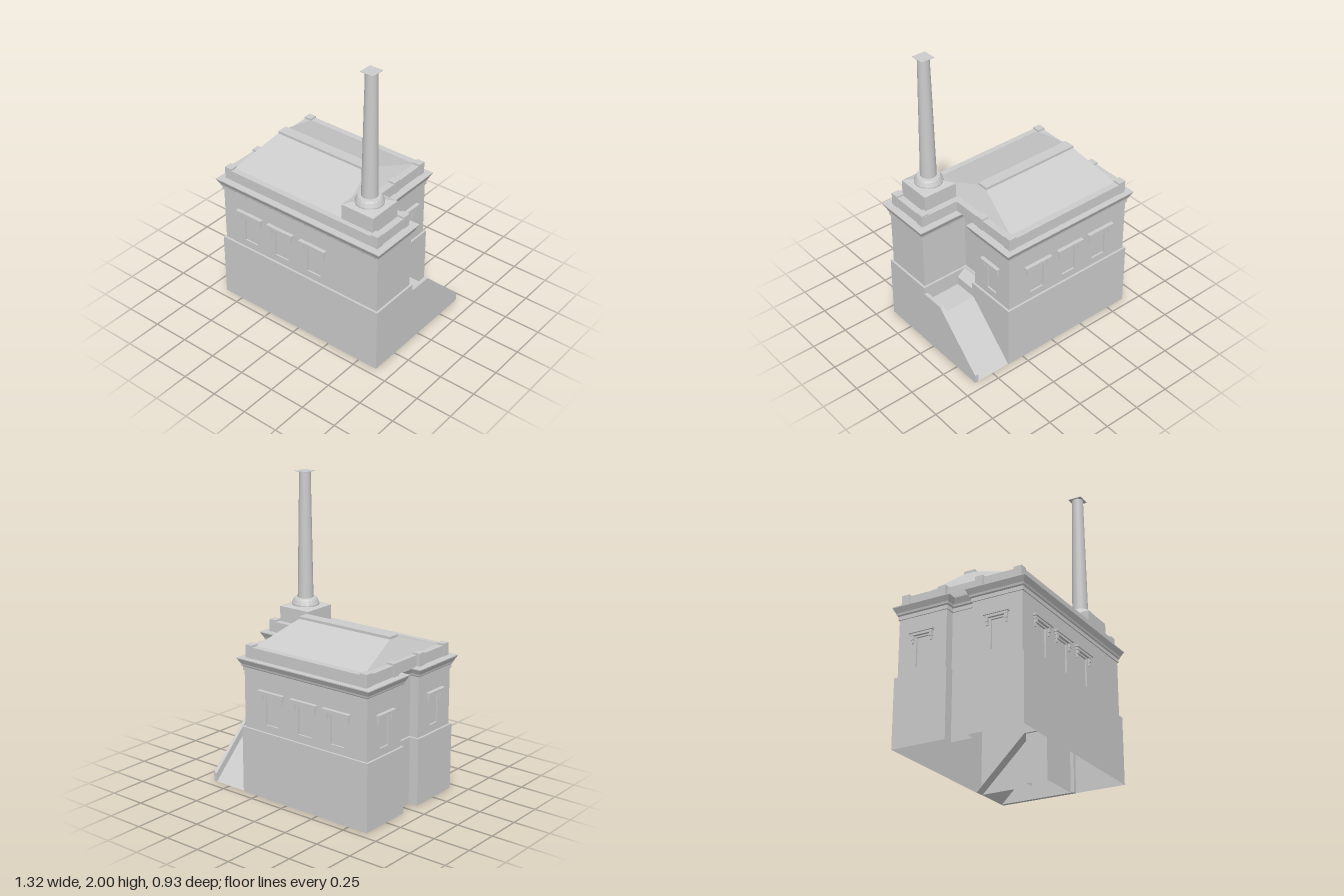
import * as THREE from 'three';

const stone = new THREE.MeshStandardMaterial({ color: 0xcccccc, side: THREE.DoubleSide });
stone.name = 'pale grey stone';

// Wall footprint as [x, z], starting along the front
const PLAN = [
  [-0.625, 0.43], [0.625, 0.43], [0.625, 0.09], [0.29, 0.09], [0.29, -0.09], [0.355, -0.09],
  [0.355, -0.43], [-0.625, -0.43], [-0.625, -0.09], [-0.56, -0.09], [-0.56, 0.09], [-0.625, 0.09],
];
const N = PLAN.length;
const edge = (i) => {
  const a = PLAN[i % N], b = PLAN[(i + 1) % N];
  const dx = b[0] - a[0], dz = b[1] - a[1], length = Math.hypot(dx, dz);
  return { a, length, dx: dx / length, dz: dz / length };
};

// Footprint grown by d, with mitred corners
function offsetPlan(d) {
  return PLAN.map(([x, z], i) => {
    const e = edge(i), f = edge(i + N - 1);
    return [x - d * (e.dz + f.dz), z + d * (e.dx + f.dx)];
  });
}

function add(parent, name, geometry, x = 0, y = 0, z = 0) {
  const mesh = new THREE.Mesh(geometry, stone);
  mesh.name = name;
  mesh.position.set(x, y, z);
  parent.add(mesh);
  return mesh;
}

// Box given by its lower and upper limits
function block(parent, name, x0, x1, y0, y1, z0, z1) {
  return add(parent, name, new THREE.BoxGeometry(x1 - x0, y1 - y0, z1 - z0),
    (x0 + x1) / 2, (y0 + y1) / 2, (z0 + z1) / 2);
}

// Flat-shaded skin through closed rings of [x, y, z]
function loft(rings) {
  const pos = [];
  for (let r = 0; r < rings.length - 1; r++) {
    const lo = rings[r], hi = rings[r + 1];
    for (let i = 0; i < lo.length; i++) {
      const j = (i + 1) % lo.length;
      pos.push(...lo[i], ...lo[j], ...hi[j], ...lo[i], ...hi[j], ...hi[i]);
    }
  }
  const g = new THREE.BufferGeometry();
  g.setAttribute('position', new THREE.Float32BufferAttribute(pos, 3));
  g.computeVertexNormals();
  return g;
}
const planLoft = (rows) => loft(rows.map(([d, y]) => offsetPlan(d).map(([x, z]) => [x, y, z])));
const rectRing = (x0, x1, z0, z1, y) => [[x0, y, z1], [x1, y, z1], [x1, y, z0], [x0, y, z0]];

// Side profile of [z, y] points extruded along x
function sideProfile(parent, name, points, x0, x1) {
  const shape = new THREE.Shape(points.map(([z, y]) => new THREE.Vector2(-z, y)));
  const g = new THREE.ExtrudeGeometry(shape, { depth: x1 - x0, bevelEnabled: false });
  g.rotateY(Math.PI / 2);
  return add(parent, name, g, x0, 0, 0);
}

// Window hood: two shelves on a pair of brackets
function addHood(parent, s, k) {
  const hood = new THREE.Group();
  hood.name = 'windowHood';
  block(hood, 'hoodTop', -0.105 * k, 0.105 * k, 0.715, 0.728, 0, 0.026);
  block(hood, 'hoodMoulding', -0.095 * k, 0.095 * k, 0.7, 0.715, 0, 0.017);
  for (const side of [-1, 1]) {
    const x = side * 0.081 * k;
    block(hood, 'bracket', x - 0.009, x + 0.009, 0.675, 0.7, 0, 0.015);
    block(hood, 'bracketFoot', x - 0.006, x + 0.006, 0.652, 0.675, 0, 0.009);
  }
  hood.position.x = s;
  parent.add(hood);
}

export function createModel() {
  const model = new THREE.Group();
  model.name = 'engineHouse';

  // Plinth, inner wall and cornice
  add(model, 'plinth', planLoft([[0.015, 0], [0.015, 0.45], [-0.012, 0.45]]));
  add(model, 'innerWall', planLoft([[-0.012, 0.45], [-0.012, 0.83]]));
  add(model, 'cornice', planLoft([[-0.012, 0.83], [0.007, 0.83], [0.007, 0.855], [0.014, 0.862],
    [0.017, 0.875], [0.035, 0.908], [0.035, 0.914], [-0.03, 0.914]]));

  // Outer wall panels with window openings, one per side
  const rowX = [-0.4, -0.14, 0.125];
  const windows = {
    0: rowX.map((x) => x + 0.625), 5: [0.17], 6: rowX.map((x) => 0.355 - x), 7: [0.17], 11: [0.17],
  };
  for (let i = 0; i < N; i++) {
    const e = edge(i), list = windows[i] || [], k = list.length === 1 ? 0.8 : 1;
    const wall = new THREE.Group();
    wall.name = 'wall';
    const shape = new THREE.Shape([[0, 0.45], [e.length, 0.45], [e.length, 0.83], [0, 0.83]]
      .map((p) => new THREE.Vector2(...p)));
    for (const s of list) {
      const w = 0.053 * k;
      shape.holes.push(new THREE.Path([[s - w, 0.5], [s - w, 0.69], [s + w, 0.69], [s + w, 0.5]]
        .map((p) => new THREE.Vector2(...p))));
      addHood(wall, s, k);
    }
    add(wall, 'wallPanel', new THREE.ExtrudeGeometry(shape, { depth: 0.012, bevelEnabled: false }), 0, 0, -0.012);
    wall.position.set(e.a[0], 0, e.a[1]);
    wall.rotation.y = Math.atan2(-e.dz, e.dx);
    model.add(wall);
  }

  // Roof deck
  const deck = new THREE.ShapeGeometry(new THREE.Shape(offsetPlan(-0.005).map(([x, z]) => new THREE.Vector2(x, -z))));
  deck.rotateX(-Math.PI / 2);
  add(model, 'roofDeck', deck, 0, 0.916, 0);

  // Parapet rails and corner posts
  const rails = [
    [-0.61, 0.61, 0.38, 0.42], [-0.61, 0.34, -0.425, -0.38], [-0.597, -0.565, -0.42, 0.42],
    [0.3, 0.342, -0.42, 0.13], [0.565, 0.61, 0.1, 0.42], [0.3, 0.61, 0.1, 0.145],
    [-0.612, -0.565, 0.1, 0.42], [-0.612, -0.565, -0.425, -0.108],
  ];
  for (const [x0, x1, z0, z1] of rails) block(model, 'parapetRail', x0, x1, 0.914, 0.988, z0, z1);
  for (const [x, z] of [[-0.59, -0.4], [0.32, -0.4], [-0.592, -0.135], [0.32, -0.135],
    [-0.592, 0.128], [0.588, 0.128], [-0.59, 0.393], [0.588, 0.393]]) {
    block(model, 'parapetPost', x - 0.027, x + 0.027, 0.914, 1.0, z - 0.027, z + 0.027);
  }

  // Hipped roof with a flat ridge cap
  add(model, 'hippedRoof', loft([
    rectRing(-0.57, 0.302, -0.385, 0.385, 0.916), rectRing(-0.57, 0.302, -0.385, 0.385, 0.985),
    rectRing(-0.503, 0.223, -0.05, 0.025, 1.105),
  ]));
  block(model, 'ridgeCap', -0.503, 0.223, 1.1, 1.122, -0.05, 0.025);

  // Chimney: pedestal, moulded foot, tapered shaft and square cap
  const cx = 0.434, cz = 0.265;
  const chimney = new THREE.Group();
  chimney.name = 'chimney';
  chimney.position.set(cx, 0, cz);
  add(chimney, 'chimneyPedestal', loft([
    rectRing(-0.121, 0.121, -0.121, 0.121, 0.916), rectRing(-0.121, 0.121, -0.121, 0.121, 1.092),
    rectRing(-0.06, 0.06, -0.06, 0.06, 1.11),
  ]));
  const foot = [[0.075, 1.095], [0.093, 1.102], [0.093, 1.112], [0.082, 1.138], [0.074, 1.15], [0.05, 1.153]];
  const footGeometry = new THREE.LatheGeometry(foot.map((p) => new THREE.Vector2(...p)), 20).toNonIndexed();
  footGeometry.computeVertexNormals();
  add(chimney, 'chimneyFoot', footGeometry);
  add(chimney, 'chimneyShaft', new THREE.CylinderGeometry(0.038, 0.053, 0.85, 20, 1, true), 0, 1.573, 0);
  block(chimney, 'chimneyCap', -0.047, 0.047, 1.997, 2.0, -0.047, 0.047);
  model.add(chimney);

  // Side ramp, landing and its outer wall
  sideProfile(model, 'ramp', [[0.08, 0.34], [-0.09, 0.34], [-0.44, 0], [-0.435, 0], [-0.09, 0.33], [0.08, 0.33]], 0.3, 0.62);
  sideProfile(model, 'rampWall', [[0.1, 0], [0.1, 0.4], [-0.09, 0.4], [-0.44, 0.06], [-0.44, 0]], 0.615, 0.64);

  // Sloping sill at the back of the recess
  const sill = new THREE.Shape([[0.29, 0.33], [0.37, 0.33], [0.37, 0.4], [0.315, 0.445], [0.29, 0.445]]
    .map((p) => new THREE.Vector2(...p)));
  add(model, 'recessSill', new THREE.ExtrudeGeometry(sill, { depth: 0.17, bevelEnabled: false }), 0, 0, -0.085);

  return model;
}
